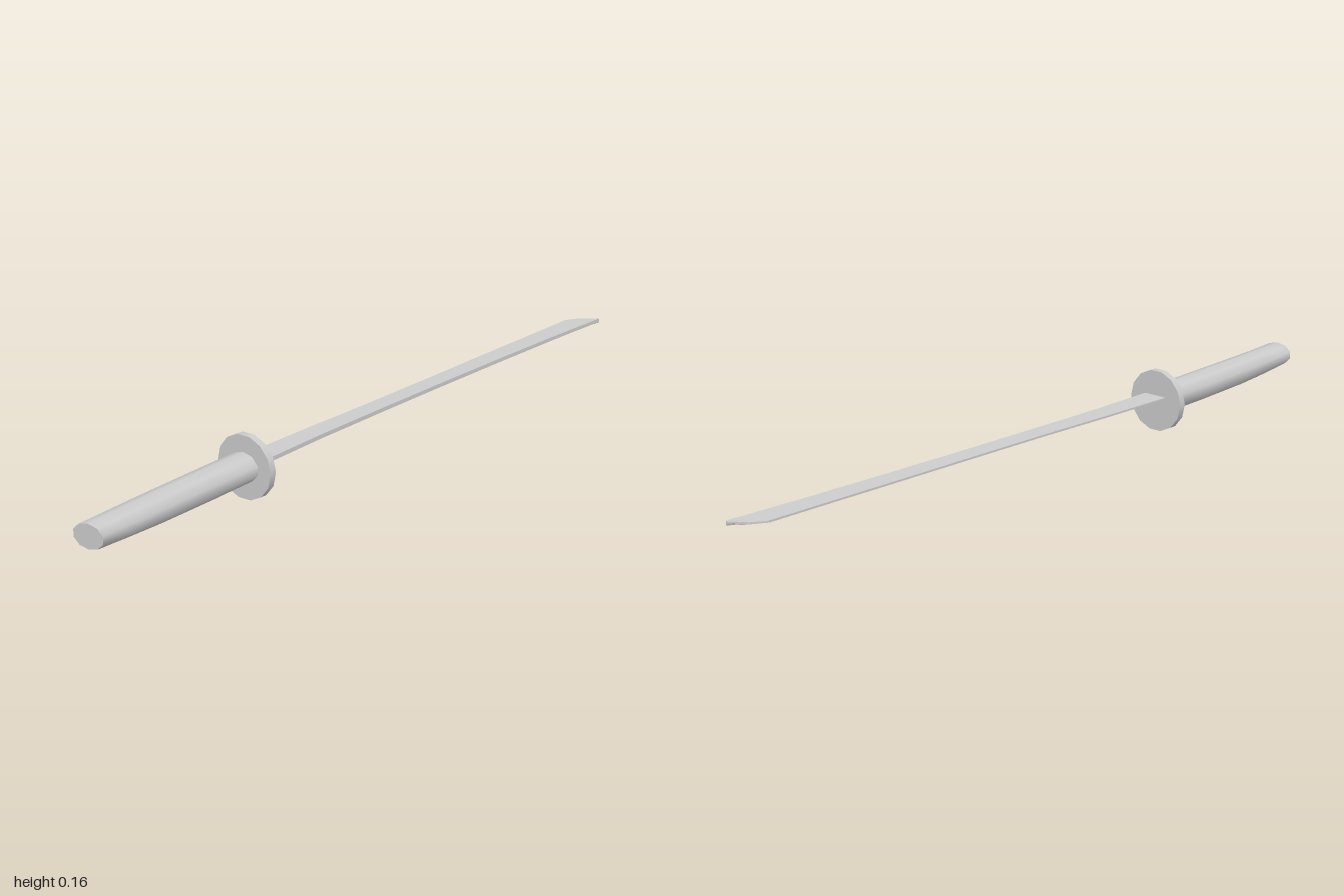
import * as THREE from 'three';
import { toCreasedNormals } from 'three/addons/utils/BufferGeometryUtils.js';

const material = new THREE.MeshStandardMaterial({ color: 0xcccccc });

// Skin equal-length loops (counter-clockwise seen from +z), ordered from +z to -z
function loft(loops, crease) {
  const n = loops[0].length;
  const index = [];
  for (let s = 0; s < loops.length - 1; s++) {
    for (let i = 0; i < n; i++) {
      const j = (i + 1) % n;
      const a = s * n + i, b = s * n + j;
      index.push(a, a + n, b, b, a + n, b + n);
    }
  }
  const last = (loops.length - 1) * n;
  for (let i = 1; i < n - 1; i++) {
    index.push(0, i, i + 1, last, last + i + 1, last + i);
  }
  const geometry = new THREE.BufferGeometry();
  geometry.setAttribute('position', new THREE.Float32BufferAttribute(loops.flat(2), 3));
  geometry.setIndex(index);
  return toCreasedNormals(geometry, crease);
}

function addMesh(group, name, geometry) {
  const mesh = new THREE.Mesh(geometry, material);
  mesh.name = name;
  group.add(mesh);
  return mesh;
}

export function createModel() {
  const group = new THREE.Group();
  group.name = 'curvedSword';

  // Handle: gently bent, flattened ten-sided grip
  const grip = [ // z, centre x, centre y, radius x, radius y
    [1.0, -0.079, 0.094, 0.042, 0.031],
    [0.9, -0.077, 0.09, 0.043, 0.034],
    [0.78, -0.073, 0.087, 0.044, 0.037],
    [0.6, -0.065, 0.085, 0.045, 0.038],
    [0.435, -0.057, 0.084, 0.045, 0.038],
  ];
  const sides = 10;
  addMesh(group, 'handle', loft(grip.map(([z, cx, cy, rx, ry]) =>
    Array.from({ length: sides }, (_, i) => {
      const a = ((i + 0.5) / sides) * Math.PI * 2;
      return [cx + (rx * Math.cos(a)) / Math.cos(Math.PI / sides), cy + ry * Math.sin(a), z];
    })), 0.85));

  // Guard: thin disc square to the blade
  const disc = new THREE.CylinderGeometry(0.083, 0.083, 0.02, 14);
  disc.rotateY(Math.PI / 14);
  disc.rotateX(Math.PI / 2);
  const guard = addMesh(group, 'guard', toCreasedNormals(disc, 0.6));
  guard.position.set(-0.055, 0.083, 0.436);
  guard.rotation.y = -0.08;

  // Blade: thin edge on -x, thick bevelled spine on +x, slanted point
  const stations = [ // z, edge x, spine x
    [0.435, -0.088, -0.02],
    [0.2, -0.063, -0.004],
    [-0.05, -0.033, 0.02],
    [-0.3, -0.007, 0.046],
    [-0.55, 0.018, 0.074],
    [-0.78, 0.042, 0.102],
    [-0.94, 0.058, 0.124],
    [-0.975, 0.084, 0.129],
    [-1.0, 0.129, 0.133],
  ];
  addMesh(group, 'blade', loft(stations.map(([z, edge, spine]) => {
    const t = (0.435 - z) / 1.435;
    const top = 0.098 + 0.005 * t;
    const keel = spine - 0.3 * (spine - edge);
    return [
      [spine, top, z],
      [edge, top - 0.001, z],
      [edge, top - 0.006, z],
      [keel, 0.077 + 0.014 * t, z],
      [spine, 0.087 + 0.006 * t, z],
    ];
  }), 0.3));

  return group;
}
